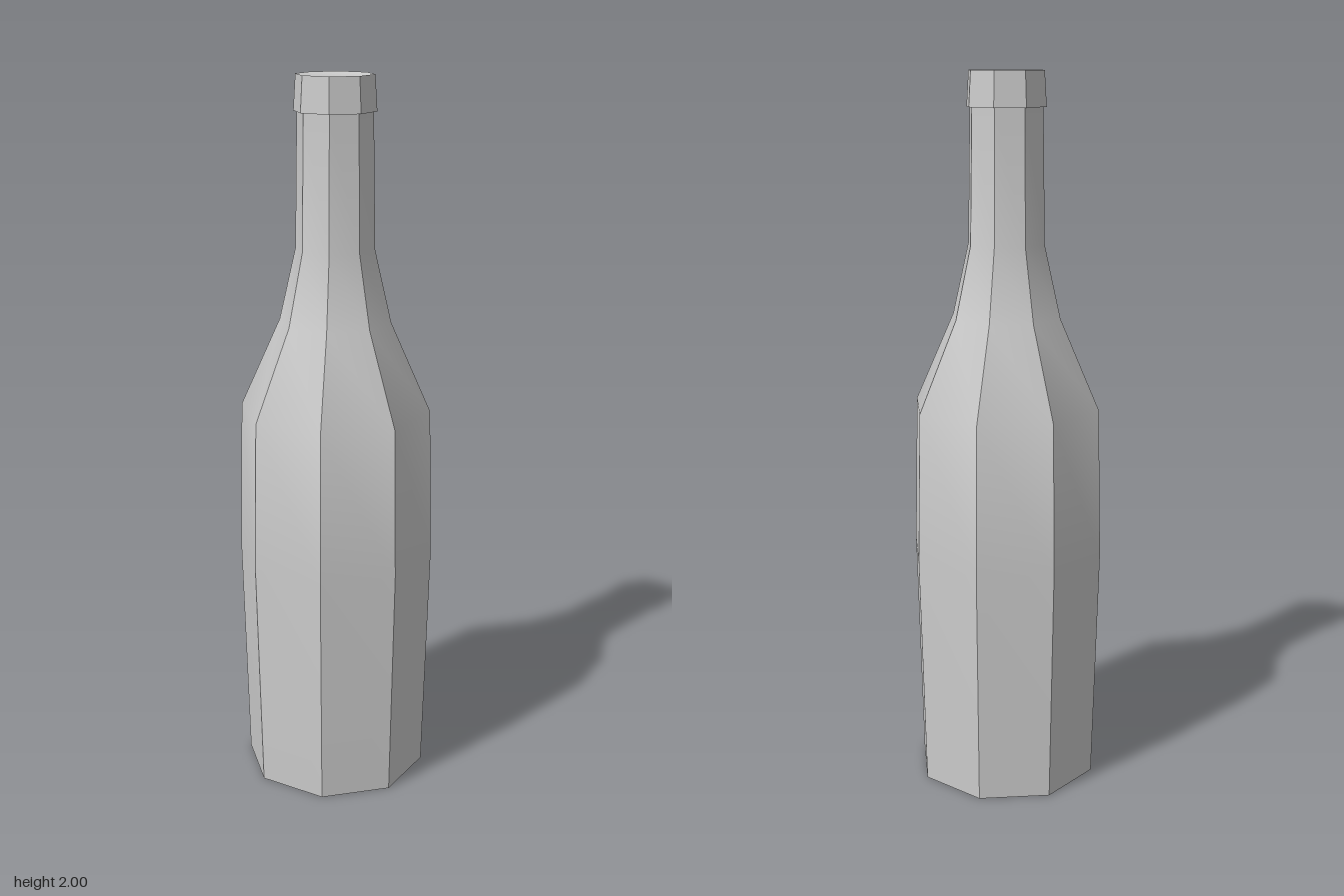
import * as THREE from 'three';
import { toCreasedNormals } from 'three/addons/utils/BufferGeometryUtils.js';

const SIDES = 8;
const material = new THREE.MeshStandardMaterial({ color: 0xcccccc });

// Eight-sided turned part from [radius, height] pairs, listed bottom to top.
// Creases stay sharp between the sides and soft along the height.
function turnedPart(name, profile) {
  const points = profile.map(([r, y]) => new THREE.Vector2(r, y));
  const geometry = toCreasedNormals(new THREE.LatheGeometry(points, SIDES), Math.PI / 6);
  const mesh = new THREE.Mesh(geometry, material);
  mesh.name = name;
  return mesh;
}

export function createModel() {
  const bottle = new THREE.Group();
  bottle.name = 'bottle';

  // Flat base, slightly bulging body, shoulder and tapering neck
  bottle.add(turnedPart('body', [
    [0, 0], [0.26, 0], [0.277, 0.67], [0.267, 1.09],
    [0.155, 1.34], [0.109, 1.54], [0.103, 1.905],
  ]));

  // Raised lip with a shallow dished top
  bottle.add(turnedPart('lip', [
    [0.103, 1.905], [0.112, 1.905], [0.106, 2], [0.097, 1.997], [0, 1.997],
  ]));

  return bottle;
}
